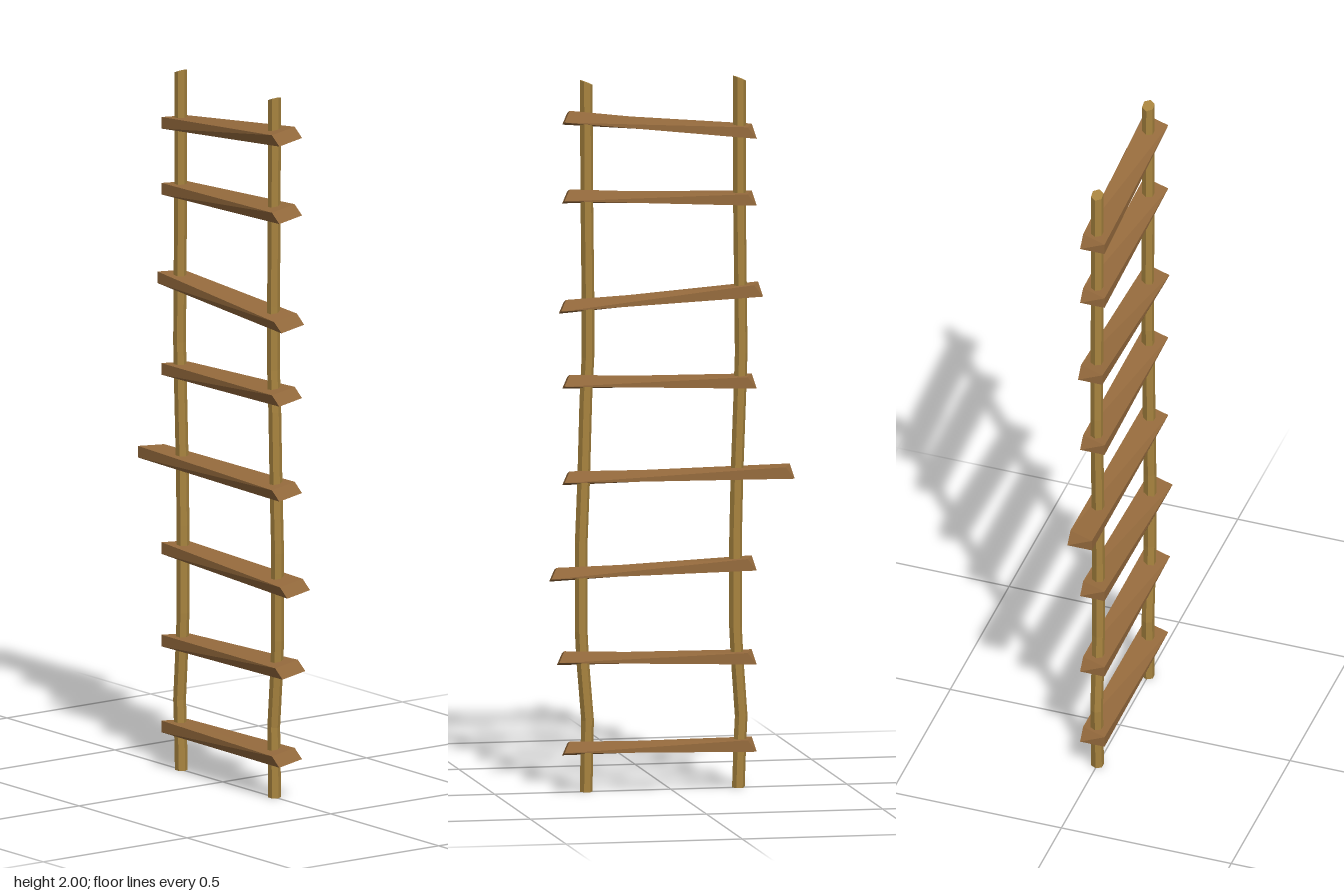
import * as THREE from 'three';

const wood = new THREE.MeshStandardMaterial({ name: 'plankWood', color: 0x966b3d, flatShading: true });
const rope = new THREE.MeshStandardMaterial({ name: 'ropeFibre', color: 0xa8843f, flatShading: true });

// Rung: a box whose front end is rolled and bevelled, and whose back end has one cut corner
function makeRung([frontY, backY, front, back]) {
  const geo = new THREE.BoxGeometry(1, 1, 1);
  const pos = geo.attributes.position;
  for (let i = 0; i < pos.count; i++) {
    const sx = Math.sign(pos.getX(i)), sy = Math.sign(pos.getY(i));
    if (pos.getZ(i) > 0) {
      const bevel = (sy > 0 ? 0.017 : 0) + (sx < 0 ? 0.008 : 0);
      pos.setXYZ(i, sx * 0.0365 - sy * 0.0065, frontY + sy * 0.0155 + sx * 0.008, front - bevel);
    } else {
      const cut = sx > 0 && sy > 0 ? 0.026 : 0;
      pos.setXYZ(i, sx * 0.036, backY + sy * 0.0165, -back + cut);
    }
  }
  geo.computeVertexNormals();
  return new THREE.Mesh(geo, wood);
}

// Rope: a six-sided post bent along a list of [y, z] points, with a slanted top
function makeRope(path) {
  const n = path.length - 1;
  const geo = new THREE.CylinderGeometry(0.018, 0.018, n, 6, n);
  const pos = geo.attributes.position;
  for (let i = 0; i < pos.count; i++) {
    const ring = Math.round(pos.getY(i) + n / 2);
    const z = pos.getZ(i);
    const slant = ring === n ? (z - 0.018) * 0.4 : 0;
    pos.setY(i, path[ring][0] + slant);
    pos.setZ(i, path[ring][1] + z);
  }
  geo.computeVertexNormals();
  return new THREE.Mesh(geo, rope);
}

export function createModel() {
  const model = new THREE.Group();
  model.name = 'ropeLadder';

  // Rungs from bottom to top: front height, back height, front reach, back reach
  const rungs = [
    [0.123, 0.12, 0.31, 0.237],
    [0.377, 0.365, 0.325, 0.237],
    [0.612, 0.629, 0.347, 0.237],
    [0.882, 0.884, 0.31, 0.345],
    [1.153, 1.14, 0.31, 0.237],
    [1.364, 1.398, 0.32, 0.255],
    [1.674, 1.654, 0.31, 0.237],
    [1.895, 1.842, 0.31, 0.237],
  ];
  rungs.forEach((r, i) => {
    const rung = makeRung(r);
    rung.name = `rung${i + 1}`;
    model.add(rung);
  });

  // Two slightly wavering side ropes
  const frontRope = makeRope([[0, 0.24], [0.12, 0.238], [0.2, 0.236], [0.37, 0.25], [0.45, 0.254],
    [0.7, 0.254], [0.88, 0.247], [1.1, 0.241], [1.22, 0.235], [1.4, 0.235], [1.65, 0.238], [2, 0.24]]);
  frontRope.name = 'frontRope';
  const backRope = makeRope([[0, -0.192], [0.12, -0.196], [0.2, -0.2], [0.37, -0.188], [0.45, -0.184],
    [0.7, -0.184], [0.88, -0.188], [1.1, -0.196], [1.22, -0.2], [1.4, -0.198], [1.65, -0.195], [2, -0.195]]);
  backRope.name = 'backRope';
  model.add(frontRope, backRope);
  return model;
}
